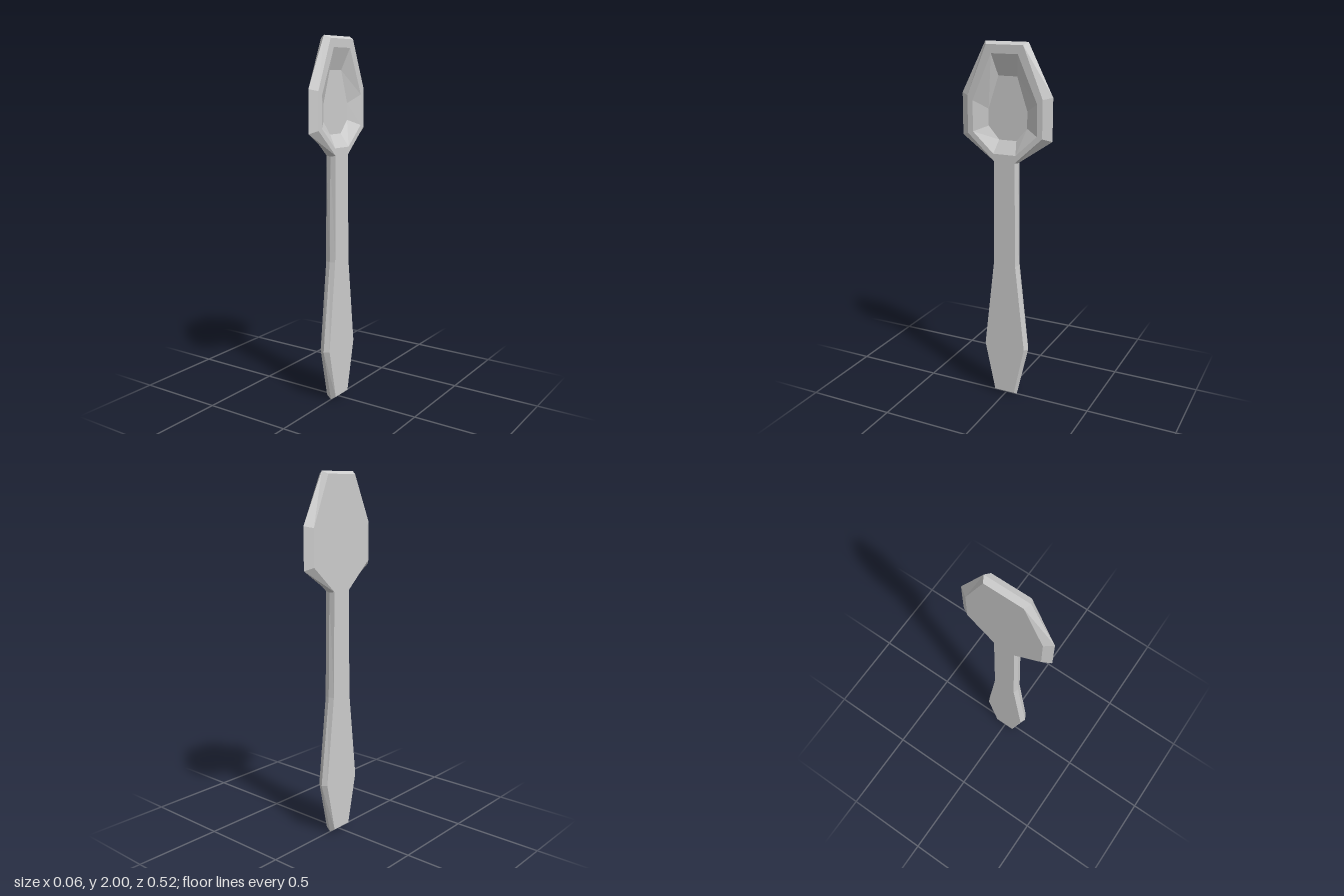
import * as THREE from 'three';
import { mergeGeometries } from 'three/addons/utils/BufferGeometryUtils.js';

const HALF = 0.03;    // half thickness
const FLOOR = -0.012; // height of the bowl floor

// Mirror a half outline (bottom to top) into a closed counter-clockwise ring
const ring = half => [
  ...half.map(([u, y]) => new THREE.Vector2(u, y)),
  ...half.slice().reverse().map(([u, y]) => new THREE.Vector2(-u, y)),
];

// Quad strip between two rings with the same number of points
function band(a, za, b, zb) {
  const p = [];
  a.forEach((a0, i) => {
    const j = (i + 1) % a.length, a1 = a[j], b0 = b[i], b1 = b[j];
    p.push(a0.x, a0.y, za, a1.x, a1.y, za, b1.x, b1.y, zb);
    p.push(a0.x, a0.y, za, b1.x, b1.y, zb, b0.x, b0.y, zb);
  });
  const g = new THREE.BufferGeometry();
  g.setAttribute('position', new THREE.Float32BufferAttribute(p, 3));
  return g;
}

// Flat cap, optionally with a hole
function cap(outline, z, hole) {
  const s = new THREE.Shape(outline);
  if (hole) s.holes.push(new THREE.Path(hole));
  const g = new THREE.ShapeGeometry(s).toNonIndexed().translate(0, 0, z);
  g.deleteAttribute('uv');
  g.deleteAttribute('normal');
  return g;
}

export function createModel() {
  const group = new THREE.Group();
  const material = new THREE.MeshStandardMaterial({ color: 0xcccccc, flatShading: true });
  const add = (name, parts) => {
    const g = mergeGeometries(parts).rotateY(Math.PI / 2); // bowl faces +x
    g.computeVertexNormals();
    const mesh = new THREE.Mesh(g, material);
    mesh.name = name;
    group.add(mesh);
  };

  // Ridge outline at mid thickness, and the smaller outline of the flat faces
  const ridge = ring([[0.065, 0], [0.135, 0.3], [0.074, 0.8], [0.066, 1.375],
    [0.26, 1.505], [0.26, 1.73], [0.122, 2]]);
  const face = ring([[0.06, 0.02], [0.121, 0.305], [0.065, 0.8], [0.06, 1.38],
    [0.215, 1.52], [0.215, 1.72], [0.105, 1.985]]);

  // Recess rim and floor
  const rim = ring([[0.065, 1.42], [0.185, 1.53], [0.185, 1.695], [0.076, 1.94]]);
  const floor = ring([[0.05, 1.49], [0.112, 1.56], [0.112, 1.65], [0.054, 1.825]]);

  // Spoon body: bevelled edges, flat back, front with an opening for the bowl
  add('spoonBody', [
    band(face, -HALF, ridge, 0),
    band(ridge, 0, face, HALF),
    cap(face, HALF, rim),
    cap(face, HALF).rotateY(Math.PI),
  ]);

  // Faceted recess
  add('bowl', [band(rim, HALF, floor, FLOOR), cap(floor, FLOOR)]);
  return group;
}
